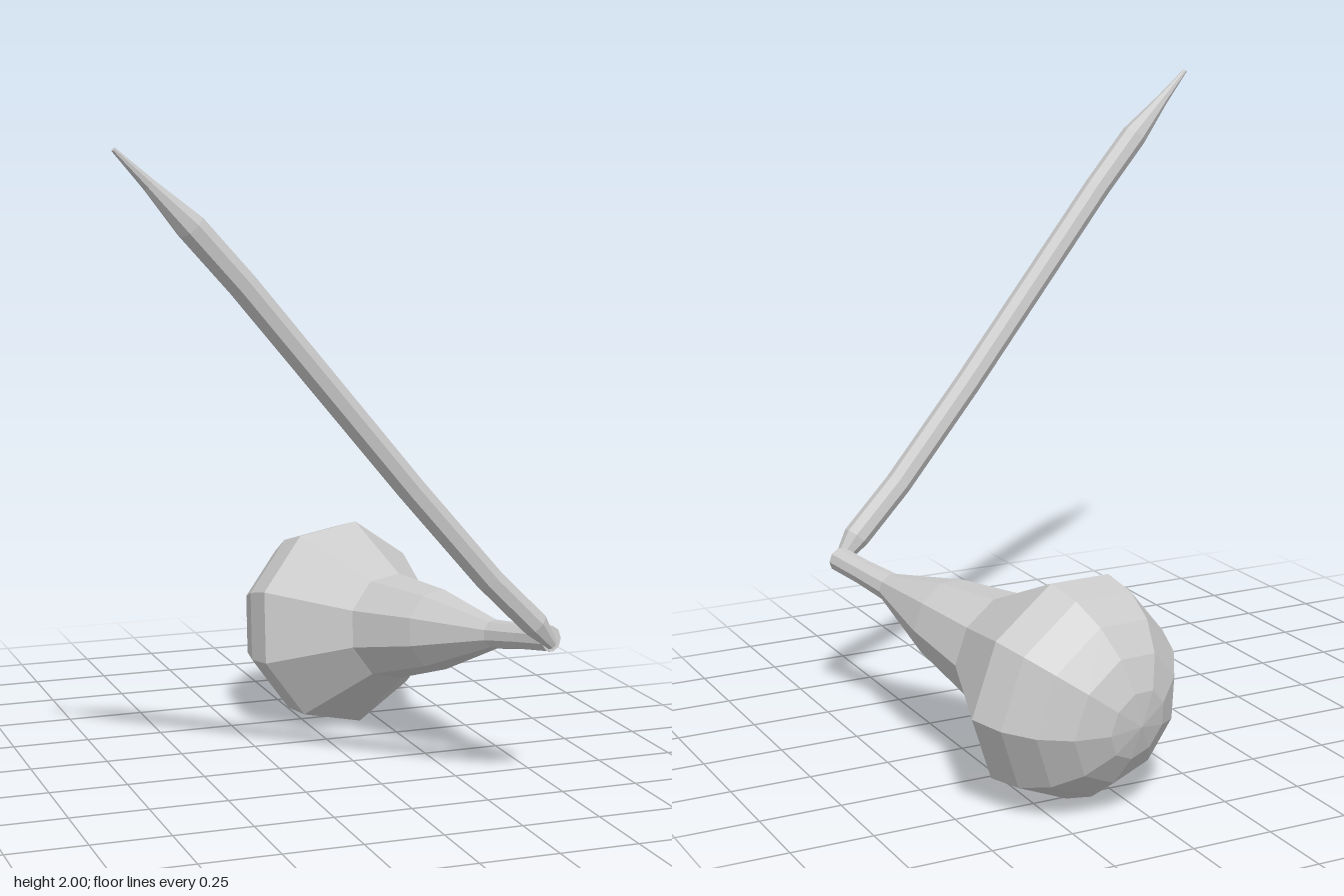
import * as THREE from 'three';

const V = (x, y, z) => new THREE.Vector3(x, y, z);

// Closed skin through polygon rings [centre, radius], all square to the axis dir.
function loft(rings, sides, dir, phase) {
  const d = dir.clone().normalize();
  const u = V(1, 0, 0).addScaledVector(d, -d.x).normalize();
  const v = d.clone().cross(u);
  const pos = [], index = [];
  for (const [c, r] of rings) {
    for (let j = 0; j < sides; j++) {
      const a = phase + (j / sides) * Math.PI * 2;
      const p = c.clone().addScaledVector(u, r * Math.cos(a)).addScaledVector(v, r * Math.sin(a));
      pos.push(p.x, p.y, p.z);
    }
  }
  const last = rings.length - 1, start = rings.length * sides, end = start + 1;
  pos.push(...rings[0][0].toArray(), ...rings[last][0].toArray());
  for (let j = 0; j < sides; j++) {
    const k = (j + 1) % sides;
    for (let i = 0; i < last; i++) {
      const a = i * sides, b = a + sides;
      index.push(a + j, a + k, b + k, a + j, b + k, b + j);
    }
    index.push(start, k, j, end, last * sides + j, last * sides + k);
  }
  const g = new THREE.BufferGeometry();
  g.setAttribute('position', new THREE.Float32BufferAttribute(pos, 3));
  g.setIndex(index);
  g.computeVertexNormals();
  return g;
}

export function createModel() {
  const group = new THREE.Group();
  const material = new THREE.MeshStandardMaterial({ color: 0xcccccc, flatShading: true });
  const add = (name, geometry) => {
    const mesh = new THREE.Mesh(geometry, material);
    mesh.name = name;
    group.add(mesh);
  };

  // Bulb: slim neck flaring into a nine-sided head with a domed end
  const headCentre = V(0.385, 0.342, -0.455);
  const axis = V(-0.285, -0.152, -0.946).normalize();
  const along = (t) => headCentre.clone().addScaledVector(axis, t);
  const bulb = [[-1.045, 0.04], [-0.92, 0.04], [-0.785, 0.046], [-0.515, 0.13], [-0.27, 0.175]]
    .map(([t, r]) => [along(t), r]);
  const bands = 5;
  for (let i = 0; i < bands; i++) {
    const a = (i / bands) * Math.PI / 2;
    bulb.push([along(0.335 * Math.sin(a)), 0.345 * Math.cos(a)]);
  }
  bulb.push([along(0.335), 0.001]);
  add('bulb', loft(bulb, 9, axis, 0.035));

  // Stick: long, slightly bowed rod, pinched at the joint and pointed at the tip
  const stick = [
    [V(0.682, 0.485, 0.543), 0.018],
    [V(0.615, 0.56, 0.555), 0.043],
    [V(0.455, 0.713, 0.578), 0.043],
    [V(0.185, 1.01, 0.62), 0.043],
    [V(-0.35, 1.62, 0.712), 0.043],
    [V(-0.505, 1.785, 0.737), 0.043],
    [V(-0.625, 1.9, 0.756), 0.02],
    [V(-0.725, 1.994, 0.774), 0.007],
  ];
  add('stick', loft(stick, 8, V(-1.12, 1.22, 0.19), Math.PI / 8));

  return group;
}
